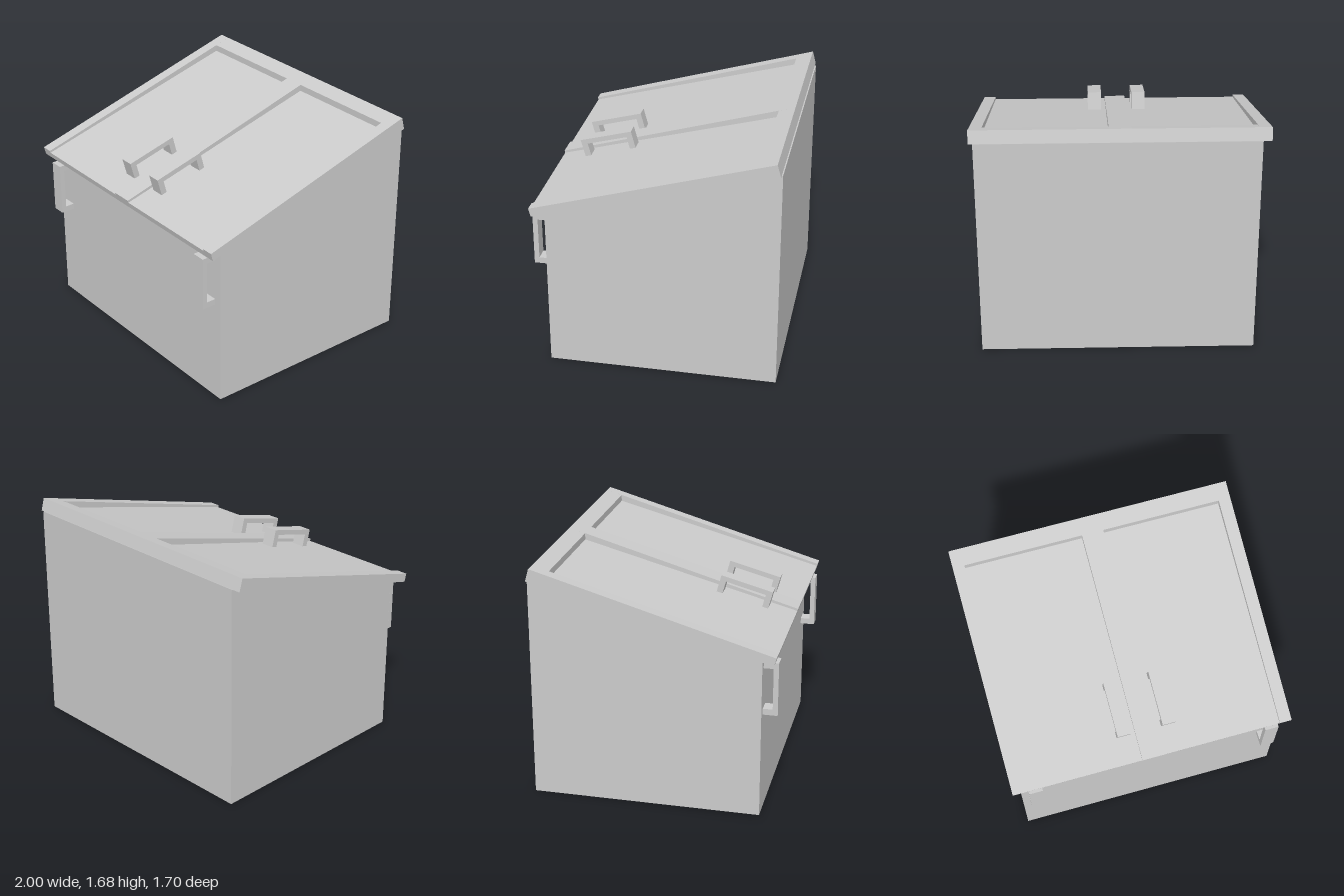
import * as THREE from 'three';

const material = new THREE.MeshStandardMaterial({ color: 0xcccccc, flatShading: true });

// Extrudes a side profile of [z, y] points along x, from x0 to x1.
function extrudeX(name, profile, x0, x1) {
  const shape = new THREE.Shape(profile.map(([z, y]) => new THREE.Vector2(-z, y)));
  const geometry = new THREE.ExtrudeGeometry(shape, { depth: x1 - x0, bevelEnabled: false });
  geometry.rotateY(Math.PI / 2).translate(x0, 0, 0);
  const mesh = new THREE.Mesh(geometry, material);
  mesh.name = name;
  return mesh;
}

// Square U-shaped pull handle standing on its mounting surface.
function makeHandle(name, height, x, y, z, tilt) {
  const half = 0.19, leg = 0.043, bar = 0.035, width = 0.097;
  const handle = extrudeX(name, [
    [half, 0], [half, height], [-half, height], [-half, 0],
    [-half + leg, 0], [-half + leg, height - bar],
    [half - leg, height - bar], [half - leg, 0],
  ], -width / 2, width / 2);
  handle.position.set(x, y, z);
  handle.rotation.x = tilt;
  return handle;
}

export function createModel() {
  const model = new THREE.Group();
  model.name = 'slopedBin';

  // Body with a sloping top
  model.add(extrudeX('body', [[0.75, 0], [0.75, 1.162], [-0.85, 1.591], [-0.85, 0]], -0.94, 0.97));

  // Lid: full-height rails alternate with recessed door panels, open at the front
  const rail = [[0.836, 1.138], [0.852, 1.196], [-0.816, 1.677], [-0.841, 1.588]];
  const panel = [
    [0.836, 1.138], [0.847, 1.18], [-0.7, 1.597], [-0.7, 1.643],
    [-0.816, 1.677], [-0.841, 1.588],
  ];
  const lid = new THREE.Group();
  lid.name = 'lid';
  const edges = [-1, -0.918, -0.078, 0.075, 0.915, 1];
  const names = ['rightRail', 'rightDoor', 'centreRail', 'leftDoor', 'leftRail'];
  names.forEach((name, i) => {
    lid.add(extrudeX(name, i % 2 ? panel : rail, edges[i], edges[i + 1]));
  });
  model.add(lid);

  // Handles on the doors, tilted with the slope
  const slope = THREE.MathUtils.degToRad(15);
  model.add(makeHandle('rightDoorHandle', 0.127, -0.162, 1.28, 0.475, slope));
  model.add(makeHandle('leftDoorHandle', 0.127, 0.157, 1.28, 0.475, slope));

  // Upright handles on the front wall
  model.add(makeHandle('rightFrontHandle', 0.102, -0.84, 0.925, 0.75, Math.PI / 2));
  model.add(makeHandle('leftFrontHandle', 0.102, 0.865, 0.925, 0.75, Math.PI / 2));

  return model;
}
